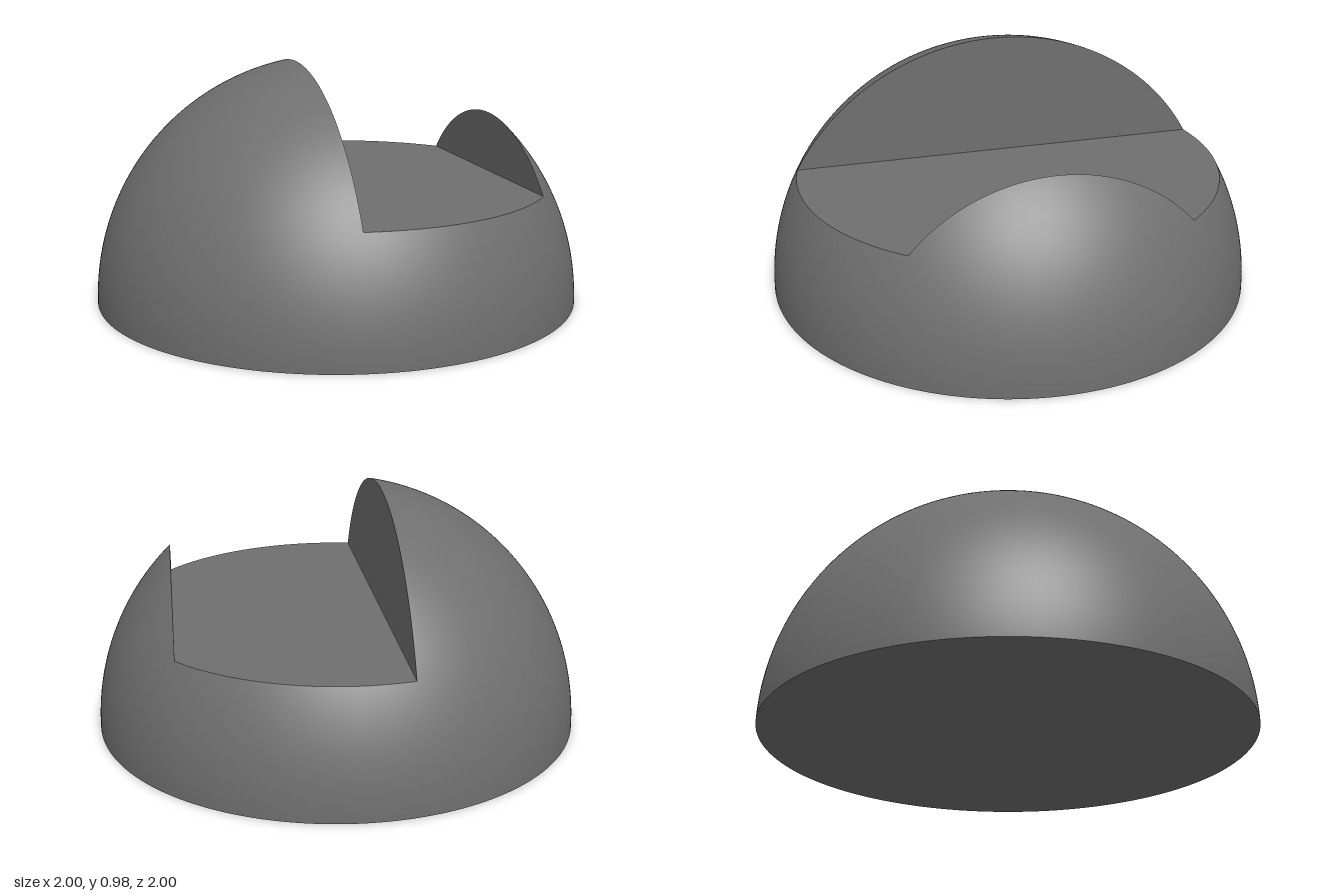
import * as THREE from 'three';

const FLOOR_Y = 0.48;                 // height of the slot floor
const RIGHT_X = -0.175, LEFT_X = 0.68; // slot walls
const FLOOR_R = Math.sqrt(1 - FLOOR_Y * FLOOR_Y);
const SEAM_Y = FLOOR_Y - 0.004;       // caps overlap the band a little, for a tight seam
const SEAM_R = Math.sqrt(1 - SEAM_Y * SEAM_Y);

// Part of the unit sphere above the seam and beyond the wall at wallX
function capGeometry(wallX, side) {
  const geo = new THREE.PlaneGeometry(1, 1, 64, 96);
  const pos = geo.attributes.position;
  for (let i = 0; i < pos.count; i++) {
    const u = pos.getX(i) + 0.5, v = pos.getY(i) * side + 0.5;
    const x = wallX + (side * SEAM_R - wallX) * (1 - (1 - u) ** 2);
    const r = Math.sqrt(1 - x * x);
    const start = Math.asin(Math.min(1, SEAM_Y / r));
    const a = start + (Math.PI - 2 * start) * v;
    pos.setXYZ(i, x, r * Math.sin(a), r * Math.cos(a));
    geo.attributes.normal.setXYZ(i, x, r * Math.sin(a), r * Math.cos(a));
  }
  return geo;
}

// Flat circular segment that closes a cap towards the slot
function wallGeometry(wallX, side) {
  const r = Math.sqrt(1 - wallX * wallX);
  const start = Math.asin(FLOOR_Y / r);
  const shape = new THREE.Shape().absarc(0, 0, r, start, Math.PI - start, false);
  return new THREE.ShapeGeometry(shape, 96)
    .rotateY(-side * Math.PI / 2)
    .translate(wallX, 0, 0);
}

export function createModel() {
  const group = new THREE.Group();
  group.name = 'slottedDome';
  const material = new THREE.MeshStandardMaterial({ color: 0x6f6f6f });
  const add = (name, geo) => {
    const mesh = new THREE.Mesh(geo, material);
    mesh.name = name;
    group.add(mesh);
  };

  // Lower band of the dome and its flat underside
  add('domeBand', new THREE.SphereGeometry(1, 240, 24, 0, Math.PI * 2,
    Math.acos(FLOOR_Y), Math.asin(FLOOR_Y)));
  add('base', new THREE.CircleGeometry(1, 240).rotateX(Math.PI / 2));

  // Slot floor: disc trimmed by the two walls
  const a = Math.acos(LEFT_X / FLOOR_R), b = Math.acos(RIGHT_X / FLOOR_R);
  const floor = new THREE.Shape()
    .absarc(0, 0, FLOOR_R, a, b, false)
    .absarc(0, 0, FLOOR_R, -b, -a, false);
  add('slotFloor', new THREE.ShapeGeometry(floor, 64)
    .rotateX(-Math.PI / 2).translate(0, FLOOR_Y, 0));

  // Raised caps on both sides of the slot
  for (const [name, x, side] of [['right', RIGHT_X, -1], ['left', LEFT_X, 1]]) {
    add(name + 'Cap', capGeometry(x, side));
    add(name + 'Wall', wallGeometry(x, side));
  }
  return group;
}
